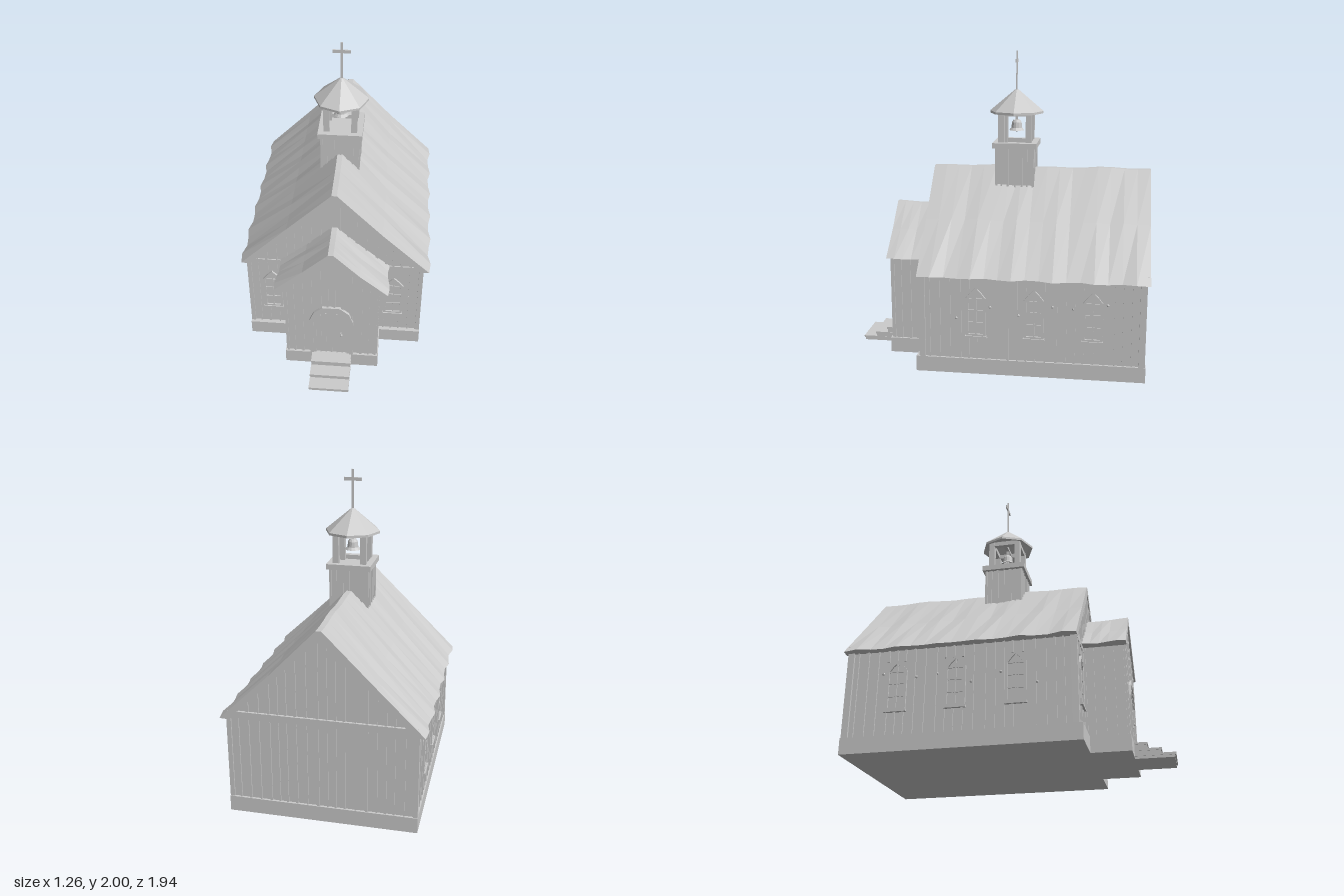
import * as THREE from 'three';

const mat = new THREE.MeshStandardMaterial({ color: 0xcccccc, flatShading: true, side: THREE.DoubleSide });

function add(parent, name, geo, x = 0, y = 0, z = 0) {
  const m = new THREE.Mesh(geo, mat);
  m.name = name;
  m.position.set(x, y, z);
  parent.add(m);
  return m;
}

// Box given by its min and max corners
function box(parent, name, x0, x1, y0, y1, z0, z1) {
  return add(parent, name, new THREE.BoxGeometry(x1 - x0, y1 - y0, z1 - z0),
    (x0 + x1) / 2, (y0 + y1) / 2, (z0 + z1) / 2);
}

function group(parent, name, x = 0, y = 0, z = 0, ry = 0) {
  const g = new THREE.Group();
  g.name = name;
  g.position.set(x, y, z);
  g.rotation.y = ry;
  parent.add(g);
  return g;
}

const poly = pts => new THREE.Shape(pts.map(p => new THREE.Vector2(p[0], p[1])));
// Full symmetric outline from its right half, listed bottom to top
const mirror = pts => [...pts, ...pts.filter(p => p[0] > 0).reverse().map(p => [-p[0], p[1]])];
const extrude = (shape, depth) => new THREE.ExtrudeGeometry(shape, { depth, bevelEnabled: false });

function ring(outer, inner, depth) {
  const s = poly(outer);
  s.holes.push(new THREE.Path(inner.map(p => new THREE.Vector2(p[0], p[1]))));
  return extrude(s, depth);
}

// Wavy gable roof swept along z from a closed cross-section
function roof(parent, name, w, yEave, yRidge, t, z0, z1, n, amp) {
  const pos = [], rows = [];
  for (let i = 0; i <= n; i++) {
    const z = z0 + (z1 - z0) * i / n;
    const dw = amp * Math.cos(z * 24 + 2.9), dy = amp * 0.7 * Math.sin(z * 13 + 1) * Math.cos(z * 5);
    const dm = amp * 0.8 * Math.sin(i * 2.3 + 1), ym = (yEave + yRidge) / 2;
    const e = w + dw, ye = yEave + amp * 0.3 * Math.sin(i * 1.7);
    rows.push([[0, yRidge - t], [-w + 0.055, yEave - 0.005], [-e, ye], [-w / 2, ym + dm],
      [-0.017, yRidge + dy], [0.017, yRidge + dy], [w / 2, ym - dm * 0.7], [e, ye], [w - 0.055, yEave - 0.005]]
      .reverse().map(p => [p[0], p[1], z]));
  }
  // Loop runs counter-clockwise seen from the front
  const k = rows[0].length, last = k - 1;
  const tri = (a, b, c) => pos.push(...a, ...b, ...c);
  for (let i = 0; i < n; i++) for (let j = 0; j < k; j++) {
    const a = rows[i], b = rows[i + 1], q = (j + 1) % k;
    tri(a[j], b[j], b[q]);
    tri(a[j], b[q], a[q]);
  }
  for (let j = 0; j < last - 1; j++) {
    tri(rows[0][last], rows[0][j], rows[0][j + 1]);
    tri(rows[n][last], rows[n][j + 1], rows[n][j]);
  }
  const g = new THREE.BufferGeometry();
  g.setAttribute('position', new THREE.Float32BufferAttribute(pos, 3));
  g.computeVertexNormals();
  add(parent, name, g);
}

// Vertical battens on a wall face, interrupted by openings {x, w, y0, y1}
function siding(parent, half, y0, top, openings = [], step = 0.06) {
  const n = Math.round(2 * half / step);
  for (let i = 0; i <= n; i++) {
    const x = -half + 2 * half * i / n + 0.008 * Math.sin(i * 5.1) * (i % n ? 1 : 0);
    const yt = top(x), o = openings.find(o => Math.abs(x - o.x) < o.w);
    const w = 0.006 + 0.002 * Math.sin(i * 3.7);
    const spans = o ? [[y0, o.y0], [o.y1, yt]] : [[y0, yt]];
    for (const [a, b] of spans) if (b - a > 0.01) box(parent, 'batten', x - w, x + w, a, b, -0.004, 0.009);
  }
}

// Pointed window with frame, glass, glazing bars and sill
const arch = (w, d) => mirror([[w, d], [w, 0.25 - d * 0.4], [w * 0.52, 0.288 - d * 0.8], [0, 0.32 - d * 1.4]]);
function windowAt(parent, x, y = 0.25) {
  const g = group(parent, 'window', x, y, 0);
  add(g, 'windowFrame', ring(arch(0.063, 0), arch(0.047, 0.016), 0.017), 0, 0, -0.004);
  add(g, 'glass', extrude(poly(arch(0.05, 0.012)), 0.005), 0, 0, -0.002);
  box(g, 'glazingBar', -0.004, 0.004, 0.01, 0.3, 0, 0.01);
  for (const h of [0.09, 0.17, 0.245]) box(g, 'glazingBar', -0.048, 0.048, h - 0.004, h + 0.004, 0, 0.009);
  box(g, 'sill', -0.067, 0.067, -0.01, 0.004, -0.004, 0.02);
}
const hole = x => ({ x, w: 0.07, y0: 0.245, y1: 0.56 });
const knot = (parent, x, y) => add(parent, 'woodKnot', new THREE.SphereGeometry(0.009, 6, 4), x, y, 0.001);

export function createModel() {
  const model = new THREE.Group();
  model.name = 'chapel';

  // Stone base
  const base = group(model, 'foundation');
  box(base, 'mainBase', -0.585, 0.585, 0, 0.1, -0.96, 0.485);
  box(base, 'porchBase', -0.31, 0.31, 0, 0.1, 0.48, 0.727);

  // Main hall
  const hall = group(model, 'hall');
  const hallTop = x => 1.2 - Math.abs(x) * 0.96;
  add(hall, 'hallWalls', extrude(poly(mirror([[0.57, 0.1], [0.57, 0.65], [0, 1.2]])), 1.4), 0, 0, -0.945);
  const front = group(hall, 'frontSiding', 0, 0, 0.455);
  const frontWindows = [-0.42, 0.395];
  siding(front, 0.565, 0.1, hallTop, frontWindows.map(hole));
  frontWindows.forEach(x => windowAt(front, x));
  knot(front, -0.335, 0.44);
  knot(front, 0.495, 0.4);
  box(front, 'gableBeam', -0.57, 0.57, 0.64, 0.675, -0.004, 0.008);
  const back = group(hall, 'backSiding', 0, 0, -0.945, Math.PI);
  siding(back, 0.565, 0.1, hallTop);
  box(back, 'gableBeam', -0.575, 0.575, 0.64, 0.685, -0.004, 0.016);
  for (const s of [1, -1]) {
    const side = group(hall, s > 0 ? 'leftSiding' : 'rightSiding', s * 0.57, 0, -0.245, s * Math.PI / 2);
    // Local x runs along the wall; windows sit at the same z on both sides
    const xs = [0.1, -0.265, -0.63].map(z => -s * (z + 0.245));
    siding(side, 0.695, 0.1, () => 0.645, xs.map(hole));
    xs.forEach(x => windowAt(side, x));
    for (const [z, y] of [[0.225, 0.365], [0.01, 0.445], [-0.17, 0.4], [-0.38, 0.465], [-0.51, 0.455], [-0.72, 0.49]])
      knot(side, -s * (z + 0.245), y);
    for (const z of [0.445, -0.935]) box(hall, 'cornerPost', s * 0.57 - 0.014, s * 0.57 + 0.014, 0.1, 0.65, z - 0.02, z + 0.02);
  }
  roof(model, 'mainRoof', 0.62, 0.64, 1.24, 0.052, 0.467, -0.972, 17, 0.011);

  // Porch
  const porch = group(model, 'porch');
  const porchTop = x => 0.945 - Math.abs(x) * 0.87;
  add(porch, 'porchWalls', extrude(poly(mirror([[0.295, 0.1], [0.295, 0.685], [0, 0.945]])), 0.27), 0, 0, 0.44);
  const face = group(porch, 'porchFront', 0, 0, 0.71);
  siding(face, 0.29, 0.1, porchTop, [{ x: 0, w: 0.13, y0: 0.1, y1: 0.5 }], 0.055);
  for (const s of [1, -1]) {
    const g = group(porch, 'porchSide', s * 0.295, 0, 0.585, s * Math.PI / 2);
    siding(g, 0.115, 0.1, () => 0.68);
  }
  roof(porch, 'porchRoof', 0.36, 0.67, 0.978, 0.035, 0.73, 0.455, 5, 0.008);

  // Arched door with a stepped surround
  const door = group(porch, 'door', 0, 0, 0.706);
  const portal = d => mirror([[0.143 - d, 0.1], [0.143 - d, 0.4 - d * 0.4], [0.115 - d * 0.85, 0.475 - d * 0.7],
    [0.058 - d * 0.35, 0.525 - d]]);
  add(door, 'doorFrame', ring(portal(0), portal(0.025), 0.022));
  add(door, 'innerFrame', ring(portal(0.022), portal(0.042), 0.015));
  add(door, 'doorLeaf', extrude(poly(portal(0.038)), 0.006));
  for (let i = -2; i <= 2; i++) box(door, 'doorBatten', i * 0.036 - 0.004, i * 0.036 + 0.004, 0.1, 0.48 - Math.abs(i) * 0.016, 0, 0.011);
  box(door, 'handlePlate', 0.058, 0.074, 0.25, 0.29, 0, 0.012);
  add(door, 'doorKnob', new THREE.SphereGeometry(0.008, 8, 6), 0.066, 0.275, 0.016);

  // Front steps
  const steps = group(model, 'steps');
  [[0.97, 0.03], [0.89, 0.062], [0.81, 0.1]].forEach(([z, h], i) => {
    box(steps, 'step', -0.127, 0.13, 0, h - 0.012, 0.72, z - 0.008);
    box(steps, 'tread', -0.13, 0.132, h - 0.014, h, 0.72, z - i * 0.002);
  });

  // Bell tower, centred on its own axis
  const tower = group(model, 'bellTower', 0, 0, -0.087);
  box(tower, 'towerBase', -0.12, 0.12, 1.05, 1.385, -0.12, 0.12);
  for (let i = 0; i < 4; i++) {
    const q = group(tower, 'towerSide', 0, 0, 0, i * Math.PI / 2);
    const f = group(q, 'towerSiding', 0, 0, 0.12);
    siding(f, 0.118, 1.12, () => 1.38, [], 0.04);
    box(q, 'platformRail', -0.145, 0.105, 1.377, 1.413, 0.105, 0.145);
    box(q, 'belfryPost', 0.071, 0.109, 1.38, 1.61, 0.071, 0.109);
    box(q, 'belfryBeam', -0.109, 0.109, 1.585, 1.615, 0.075, 0.105);
  }
  // Eight-sided hollow cap
  const cap = [[0, 1.7], [0.15, 1.605], [0.177, 1.597], [0.177, 1.612], [0.012, 1.75], [0, 1.755]];
  add(tower, 'belfryRoof', new THREE.LatheGeometry(cap.map(p => new THREE.Vector2(...p)), 8));

  // Bell
  const bell = [[0, 1.555], [0.022, 1.552], [0.032, 1.535], [0.036, 1.5], [0.05, 1.483], [0.044, 1.483], [0.03, 1.5], [0.026, 1.53], [0, 1.54]];
  add(tower, 'bell', new THREE.LatheGeometry(bell.map(p => new THREE.Vector2(...p)), 12));
  add(tower, 'clapperRod', new THREE.CylinderGeometry(0.003, 0.003, 0.065, 6), 0, 1.51, 0);
  add(tower, 'clapper', new THREE.SphereGeometry(0.009, 8, 6), 0, 1.482, 0);
  box(tower, 'bellHanger', -0.008, 0.008, 1.55, 1.6, -0.008, 0.008);
  box(tower, 'bellBeam', -0.1, 0.1, 1.588, 1.608, -0.012, 0.012);

  // Cross
  box(tower, 'crossPost', -0.008, 0.008, 1.74, 2, -0.004, 0.004);
  box(tower, 'crossArm', -0.057, 0.057, 1.927, 1.948, -0.004, 0.004);
  return model;
}
